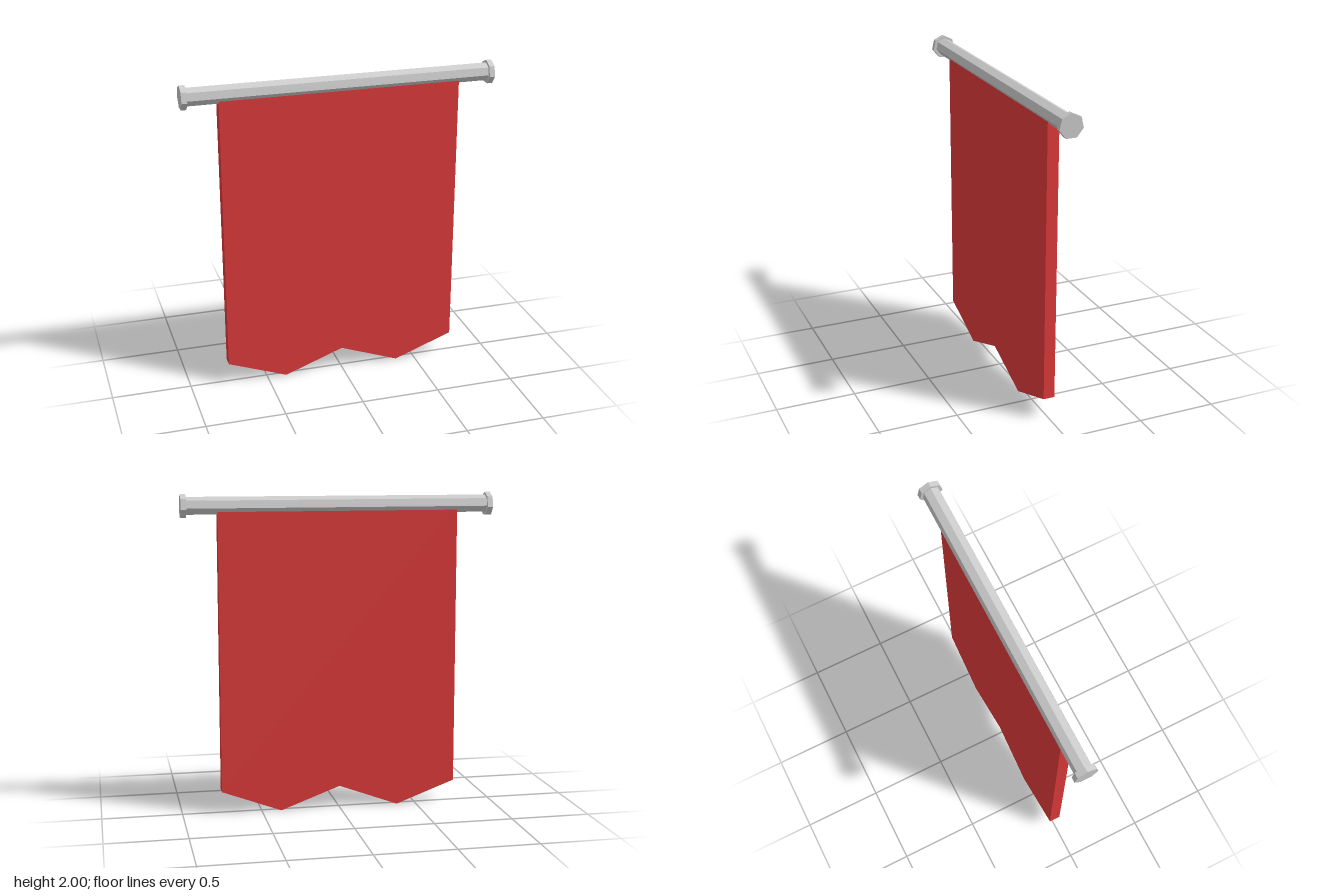
import * as THREE from 'three';

const AXIS_Y = 1.927; // height of the pole's axis

export function createModel() {
  const group = new THREE.Group();
  const metal = new THREE.MeshStandardMaterial({ color: 0xcccccc, flatShading: true });
  const cloth = new THREE.MeshStandardMaterial({ color: 0xe03a3a, flatShading: true });

  // Seven-sided bar along x with one edge pointing up
  function addBar(name, radius, length, x, y) {
    const geometry = new THREE.CylinderGeometry(radius, radius, length, 7);
    geometry.rotateX(-Math.PI / 2).rotateY(Math.PI / 2);
    const bar = new THREE.Mesh(geometry, metal);
    bar.name = name;
    bar.position.set(x, y, 0);
    group.add(bar);
  }

  // Pole and its end caps
  addBar('pole', 0.056, 1.9, 0, AXIS_Y);
  addBar('leftCap', 0.075, 0.034, 0.961, AXIS_Y - 0.002);
  addBar('rightCap', 0.075, 0.034, -0.961, AXIS_Y - 0.002);

  // Hanging cloth with two pointed tails, its top edge tucked into the pole
  const outline = new THREE.Shape([
    [-0.754, 1.92], [-0.754, 0.14], [-0.377, 0], [0, 0.14],
    [0.377, 0], [0.754, 0.14], [0.754, 1.92],
  ].map(([x, y]) => new THREE.Vector2(x, y)));
  const depth = 0.072;
  const geometry = new THREE.ExtrudeGeometry(outline, { depth, bevelEnabled: false });
  geometry.translate(0, 0, -depth / 2);
  const banner = new THREE.Mesh(geometry, cloth);
  banner.name = 'bannerCloth';
  group.add(banner);

  return group;
}
